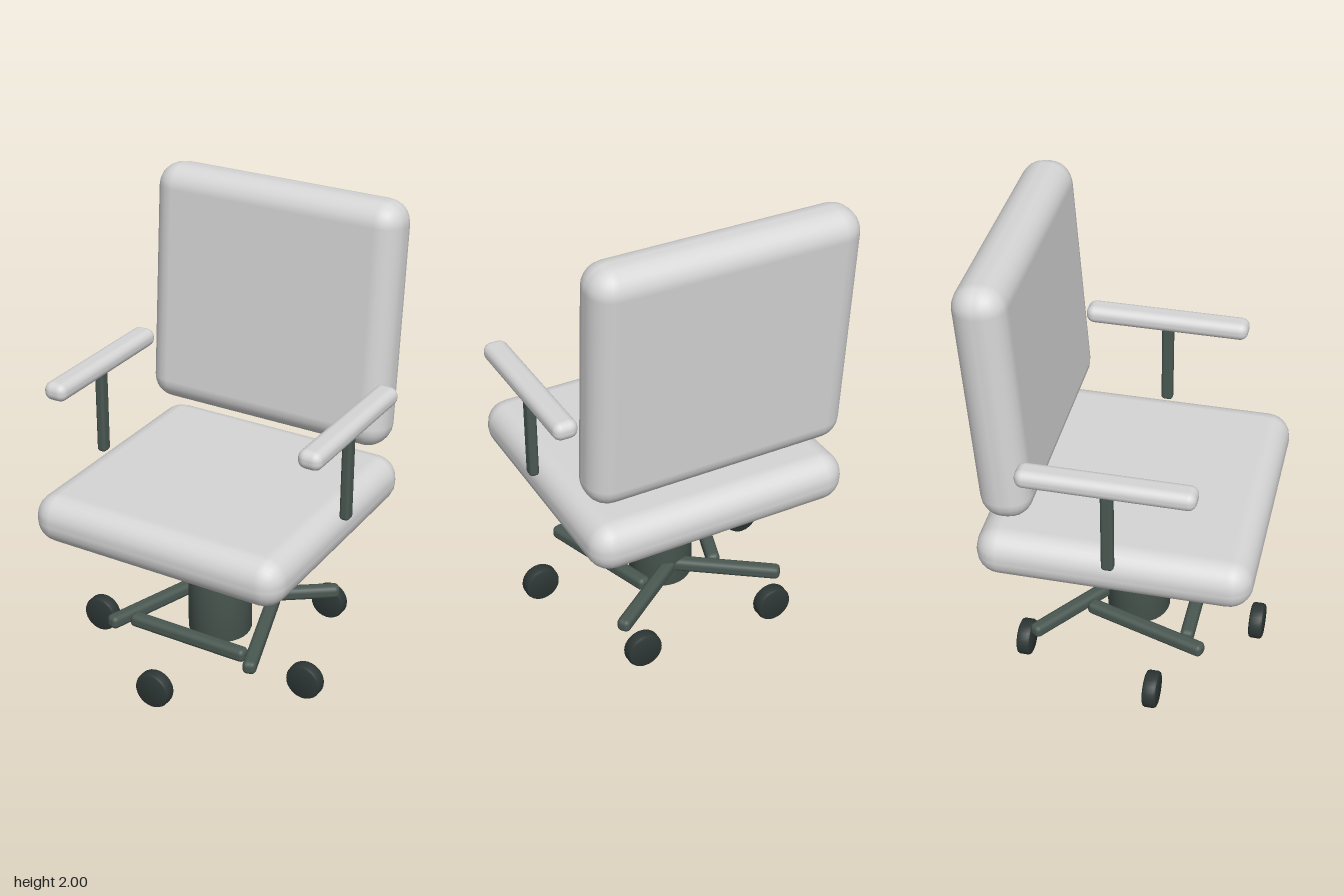
import * as THREE from 'three';
import { RoundedBoxGeometry } from 'three/addons/geometries/RoundedBoxGeometry.js';
import { toCreasedNormals } from 'three/addons/utils/BufferGeometryUtils.js';

const material = (name, color) => {
  const m = new THREE.MeshStandardMaterial({ color });
  m.name = name;
  return m;
};

// Closed drum along y with a small bevel on both rims
function drum(radius, height, bevel, sides) {
  const h = height / 2, r = radius, b = bevel;
  const profile = [[0, -h], [r - b, -h], [r - b * 0.3, -h + b * 0.3], [r, -h + b],
    [r, h - b], [r - b * 0.3, h - b * 0.3], [r - b, h], [0, h]];
  const points = profile.map(([x, y]) => new THREE.Vector2(x, y));
  return toCreasedNormals(new THREE.LatheGeometry(points, sides), 0.7);
}

export function createModel() {
  const chair = new THREE.Group();
  chair.name = 'officeChair';
  const cushion = material('light grey cushion', 0xd6d6d6);
  const frame = material('dark green-grey frame', 0x4a5852);
  const rubber = material('blackish wheel', 0x2d3735);
  const axisZ = 0.018; // the column sits slightly forward

  const add = (name, geometry, mat, x, y, z) => {
    const mesh = new THREE.Mesh(geometry, mat);
    mesh.name = name;
    mesh.position.set(x, y, z);
    chair.add(mesh);
    return mesh;
  };

  // Cushions
  add('seat', new RoundedBoxGeometry(1.17, 0.215, 1.15, 3, 0.1), cushion, 0, 0.738, axisZ);
  const back = add('backrest', new RoundedBoxGeometry(1.15, 1.07, 0.218, 3, 0.1), cushion, 0, 1.465, -0.45);
  back.rotation.x = -0.07;

  // Armrests and their posts
  const pad = new RoundedBoxGeometry(0.105, 0.08, 0.72, 3, 0.036);
  const post = new RoundedBoxGeometry(0.043, 0.4, 0.052, 2, 0.015);
  for (const [side, s] of [['left', 1], ['right', -1]]) {
    add(side + 'Armrest', pad, cushion, s * 0.593, 1.225, 0.015);
    add(side + 'ArmPost', post, frame, s * 0.594, 1.006, axisZ);
  }

  // Column
  add('column', drum(0.14, 0.57, 0.012, 32), frame, 0, 0.37, axisZ);

  // Five crossing base bars and five wheels, all wheels facing forward
  const bar = new RoundedBoxGeometry(0.06, 0.06, 0.57, 2, 0.022);
  const wheel = drum(0.08, 0.062, 0.014, 28);
  wheel.rotateX(Math.PI / 2);
  for (let i = 0; i < 5; i++) {
    const a = (i / 5) * Math.PI * 2;
    const dx = Math.sin(a), dz = Math.cos(a);
    const leg = add('baseBar' + (i + 1), bar, frame, dx * 0.27, 0.185, axisZ + dz * 0.27);
    leg.rotation.y = Math.PI / 2 - a;
    add('wheel' + (i + 1), wheel, rubber, dx * 0.54, 0.081, axisZ + dz * 0.54);
  }
  return chair;
}
